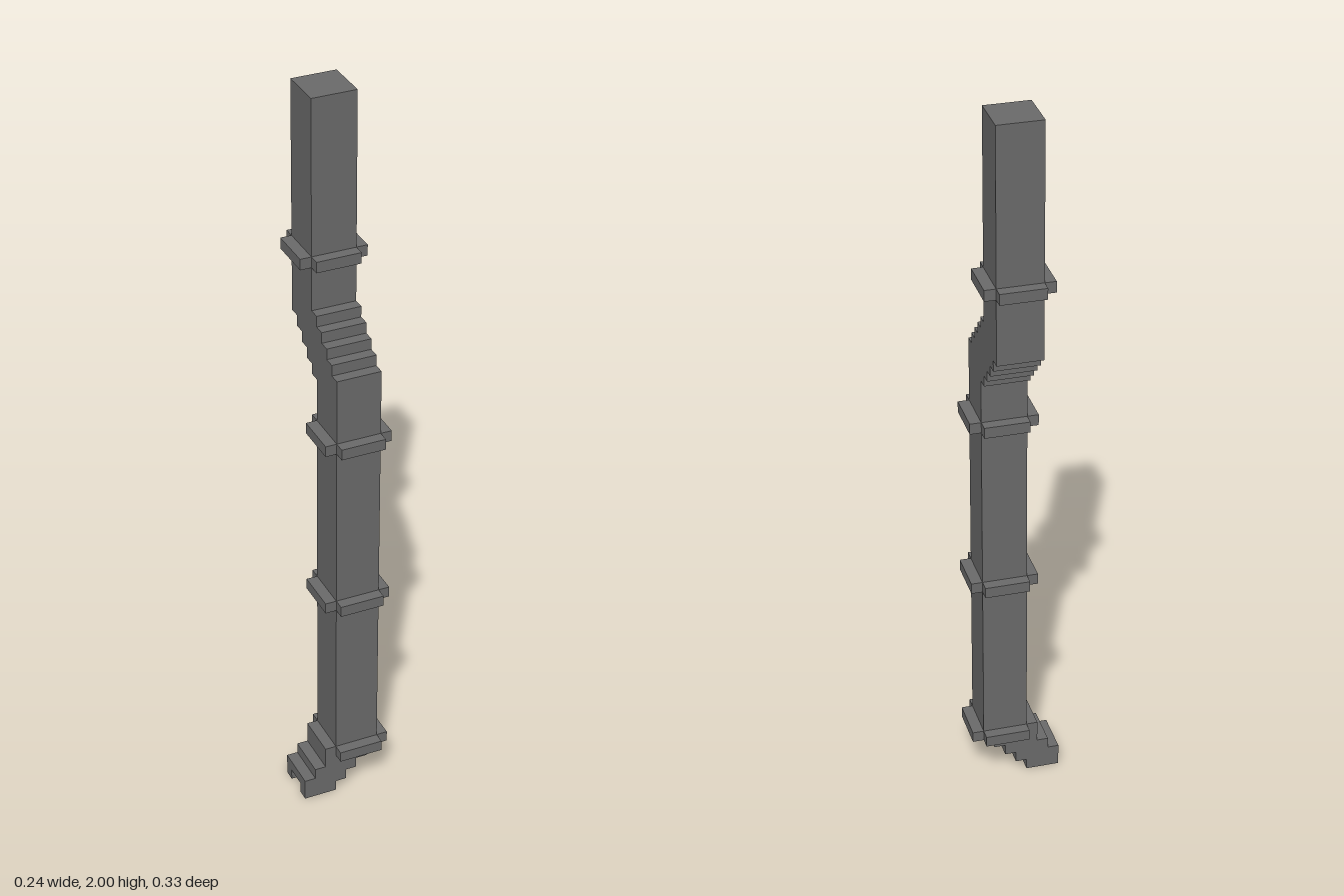
import * as THREE from 'three';

// One block of the stepped pipe; the whole pipe is 66 blocks tall
const U = 2 / 66;

function extrude(points, depth) {
  const shape = new THREE.Shape(points.map(([a, b]) => new THREE.Vector2(a * U, b * U)));
  return new THREE.ExtrudeGeometry(shape, { depth: depth * U, bevelEnabled: false });
}

export function createModel() {
  const group = new THREE.Group();
  const metal = new THREE.MeshStandardMaterial({ color: 0x6b6b6b });
  metal.name = 'greyMetal';

  const add = (parent, geometry, name) => {
    const mesh = new THREE.Mesh(geometry, metal);
    mesh.name = name;
    parent.add(mesh);
    return mesh;
  };

  // Downpipe: side profile (z, y) with a stepped offset bend
  const profile = [[4.5, 4]];
  for (let i = 0; i < 5; i++) profile.push([4.5 - i, 43 + i], [3.5 - i, 43 + i]);
  profile.push([-0.5, 66], [-4.5, 66]);
  for (let i = 0; i < 5; i++) profile.push([-4.5 + i, 45 - i], [-3.5 + i, 45 - i]);
  profile.push([0.5, 4]);
  // remove the repeated corner between the bend and the lower pipe
  const side = profile.filter((p, i) => i === 0 || p[0] !== profile[i - 1][0] || p[1] !== profile[i - 1][1]);
  const pipe = extrude(side, 4);
  pipe.rotateY(-Math.PI / 2);
  pipe.translate(3 * U, 0, 0);
  add(group, pipe, 'downpipe');

  // Collars: plus-shaped bands, given as [bottom, centre z]
  const plus = [[-3, -2], [-2, -2], [-2, -3], [2, -3], [2, -2], [3, -2],
    [3, 2], [2, 2], [2, 3], [-2, 3], [-2, 2], [-3, 2]];
  for (const [y, z] of [[4, 2.5], [20, 2.5], [36, 2.5], [51, -2.5]]) {
    const band = extrude(plus, 1);
    band.rotateX(-Math.PI / 2);
    add(group, band, 'collar').position.set(U, y * U, z * U);
  }

  // Spout: stepped side walls, with a core cut away at the mouth
  const spout = new THREE.Group();
  spout.name = 'spout';
  group.add(spout);
  const steps = [[-1, 0], [-1, 1], [0, 1], [0, 2], [1, 2], [1, 3], [2, 3], [2, 4],
    [-2, 4], [-2, 3], [-3, 3], [-3, 2], [-4, 2]];
  const wall = [...steps, [-4, 0]];
  const core = [...steps, [-4, 1], [-2, 1], [-2, 0]];
  for (const [outline, z, depth, name] of [
    [wall, 0.5, 1, 'spoutBackWall'], [core, 1.5, 2, 'spoutCore'], [wall, 3.5, 1, 'spoutFrontWall'],
  ]) add(spout, extrude(outline, depth), name).position.z = z * U;

  return group;
}
